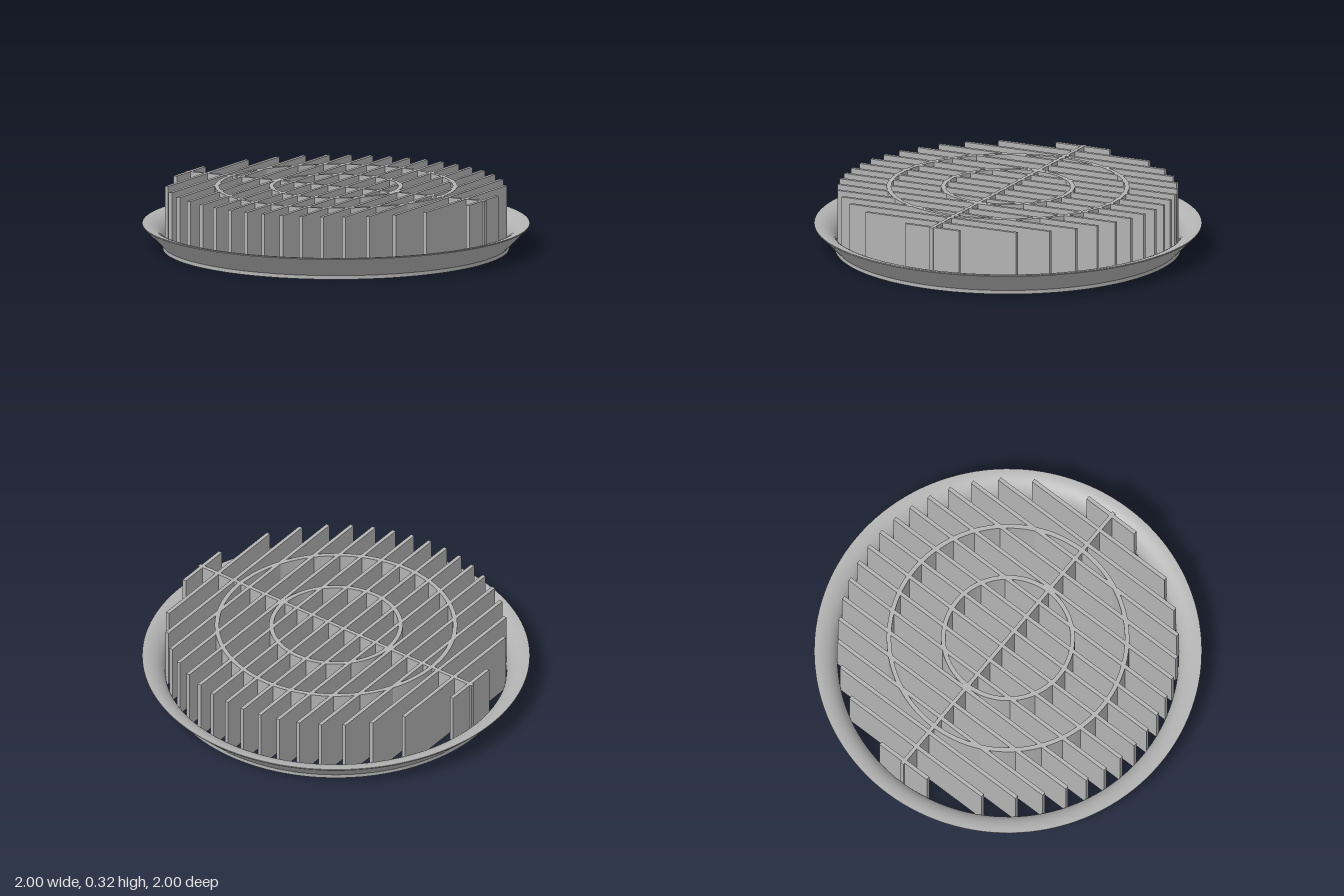
import * as THREE from 'three';
import { toCreasedNormals } from 'three/addons/utils/BufferGeometryUtils.js';

const HEIGHT = 0.325;   // top of the grille
const RADIUS = 0.88;    // outer radius of the grille
const THICK = 0.02;     // slat and bar thickness

export function createModel() {
  const group = new THREE.Group();
  group.name = 'roundGrille';
  const grey = new THREE.MeshStandardMaterial({ color: 0xb3b3b3 });
  grey.name = 'grey';

  const add = (name, geometry, x = 0, y = 0, z = 0) => {
    const mesh = new THREE.Mesh(geometry, grey);
    mesh.name = name;
    mesh.position.set(x, y, z);
    group.add(mesh);
  };

  // Turned part from a closed counter-clockwise profile of [radius, height]
  const turned = (profile) => {
    const points = [...profile, profile[0]].map(([r, y]) => new THREE.Vector2(r, y));
    return toCreasedNormals(new THREE.LatheGeometry(points, 128), 0.5);
  };

  // Flared rim: straight cone outside, rounded bell inside
  const rim = [[RADIUS, 0], [0.895, 0], [0.895, 0.02], [0.9, 0.025], [1, 0.125]];
  const steps = 12;
  for (let i = 0; i <= steps; i++) {
    const a = (i / steps) * Math.PI / 2;
    rim.push([1 - 0.12 * Math.sin(a), 0.03 + 0.1 * Math.cos(a)]);
  }
  add('flaredRim', turned(rim));

  // Parallel slats, each cut to fit inside the circle
  for (let i = 0; i < 9; i++) {
    const x = 0.0505 + i * 0.1012;
    const half = Math.sqrt(RADIUS ** 2 - (x + 0.006) ** 2);
    for (const side of [-1, 1]) {
      add('slat', new THREE.BoxGeometry(THICK, HEIGHT, half * 2), side * x, HEIGHT / 2, 0);
    }
  }

  // Bar across all slats
  add('crossBar', new THREE.BoxGeometry(RADIUS * 2, HEIGHT, THICK), 0, HEIGHT / 2, 0);

  // Two concentric bracing rings
  for (const r of [0.345, 0.626]) {
    const inner = r - 0.023;
    add('bracingRing', turned([[inner, 0], [r, 0], [r, HEIGHT], [inner, HEIGHT]]));
  }

  return group;
}
